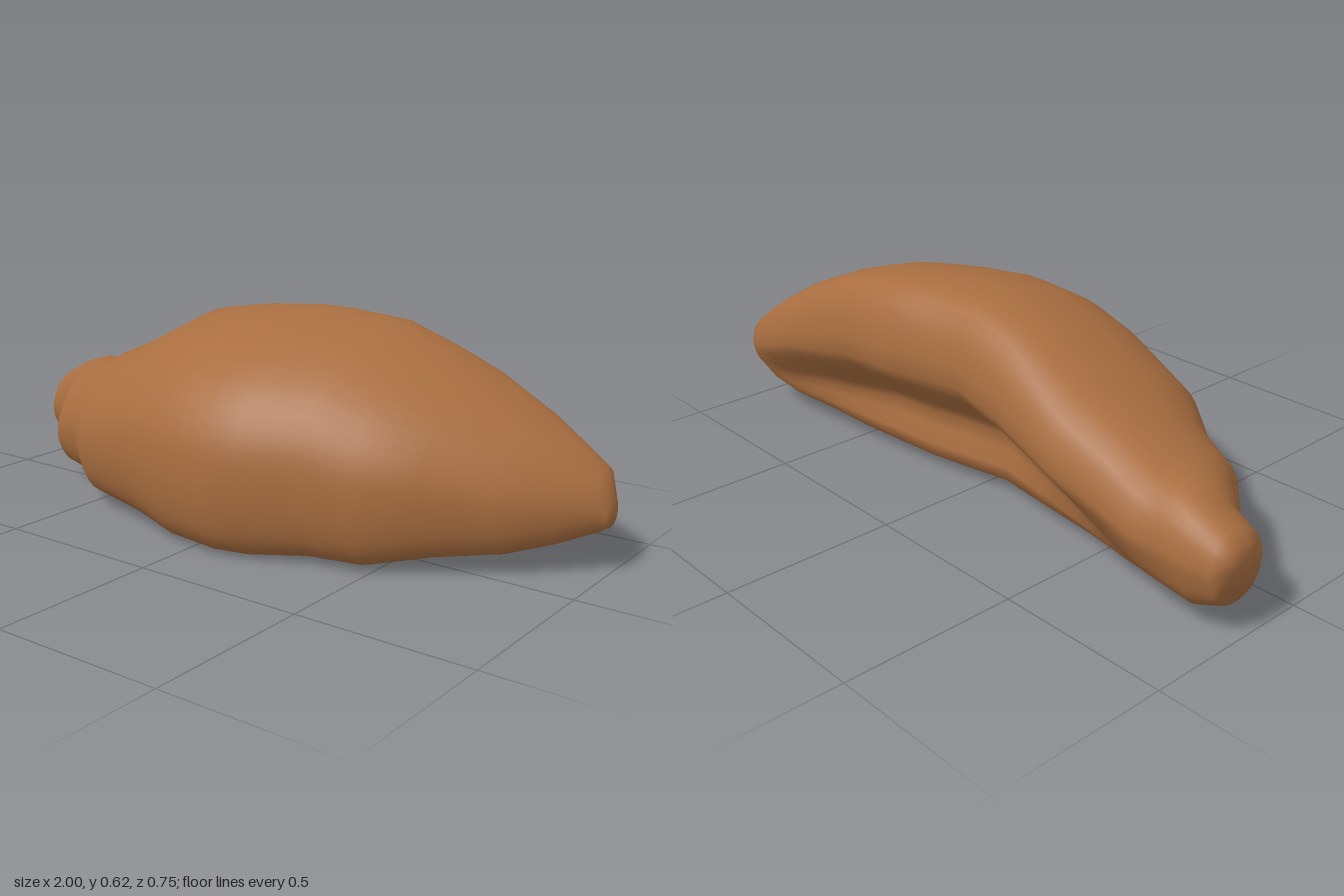
import * as THREE from 'three';

// Stations along the length: [x, back z, front z, bottom y, top y, hollow 0..1]
const STATIONS = [
  [-0.995, -0.28, -0.16, 0.17, 0.26, 0],
  [-0.965, -0.30, -0.10, 0.08, 0.285, 0],
  [-0.89, -0.32, -0.08, 0.05, 0.325, 0],
  [-0.81, -0.325, 0.01, 0.04, 0.35, 0.05],
  [-0.73, -0.33, 0.105, 0.03, 0.355, 0.15],
  [-0.62, -0.33, 0.14, 0.025, 0.41, 0.3],
  [-0.47, -0.34, 0.26, 0.02, 0.47, 0.55],
  [-0.26, -0.33, 0.30, 0.015, 0.58, 0.85],
  [-0.09, -0.31, 0.35, 0.005, 0.61, 1],
  [0.08, -0.355, 0.37, 0, 0.62, 1],
  [0.18, -0.37, 0.345, 0, 0.615, 1],
  [0.33, -0.375, 0.27, 0.01, 0.60, 1],
  [0.48, -0.375, 0.245, 0.01, 0.55, 0.9],
  [0.62, -0.375, 0.15, 0.035, 0.49, 0.75],
  [0.78, -0.365, 0.04, 0.05, 0.40, 0.5],
  [0.88, -0.34, -0.06, 0.075, 0.335, 0.25],
  [0.965, -0.30, -0.15, 0.11, 0.28, 0],
  [0.995, -0.26, -0.18, 0.13, 0.20, 0],
];

// Unit sections (across, up), running front -> top -> back -> bottom
const HOLLOW = [
  [1, 0.45], [0.95, 0.62], [0.82, 0.79], [0.55, 0.95], [0.18, 1], [0.05, 0.92], [0, 0.62],
  [0.14, 0.45], [0.3, 0.28], [0.27, 0.06], [0.6, 0], [0.9, 0.02], [0.98, 0.16],
];
const ROUND = [
  [1, 0.45], [0.95, 0.64], [0.83, 0.83], [0.6, 0.97], [0.3, 1], [0.09, 0.86], [0, 0.58],
  [0.03, 0.4], [0.11, 0.2], [0.28, 0.05], [0.55, 0], [0.83, 0.08], [0.96, 0.25],
];
const RING = 39;

// One closed cross-section, rounded by a spline
function section([x, zb, zf, yb, yt, hollow]) {
  const points = HOLLOW.map(([a, b], i) => {
    const across = THREE.MathUtils.lerp(ROUND[i][0], a, hollow);
    const up = THREE.MathUtils.lerp(ROUND[i][1], b, hollow);
    return new THREE.Vector3(x, yb + up * (yt - yb), zb + across * (zf - zb));
  });
  const curve = new THREE.CatmullRomCurve3(points, true, 'centripetal');
  return Array.from({ length: RING }, (_, j) => curve.getPoint(j / RING));
}

function bodyGeometry() {
  const positions = [], index = [];
  for (const s of STATIONS) {
    for (const p of section(s)) positions.push(p.x, Math.max(p.y, 0), p.z);
  }
  const last = STATIONS.length - 1;
  for (let i = 0; i < last; i++) {
    for (let j = 0; j < RING; j++) {
      const k = (j + 1) % RING;
      const a = i * RING + j, b = a + RING, c = i * RING + k, d = c + RING;
      index.push(a, b, c, b, d, c);
    }
  }
  // Blunt tips
  for (const [i, x] of [[0, -1], [last, 1]]) {
    const [, zb, zf, yb, yt] = STATIONS[i];
    const tip = positions.length / 3;
    positions.push(x, (yb + yt) / 2, (zb + zf) / 2);
    for (let j = 0; j < RING; j++) {
      const a = i * RING + j, b = i * RING + (j + 1) % RING;
      if (x < 0) index.push(tip, a, b);
      else index.push(tip, b, a);
    }
  }
  const geometry = new THREE.BufferGeometry();
  geometry.setAttribute('position', new THREE.Float32BufferAttribute(positions, 3));
  geometry.setIndex(index);
  geometry.computeVertexNormals();
  return geometry;
}

export function createModel() {
  const group = new THREE.Group();
  group.name = 'crescentLoaf';
  const crust = new THREE.MeshStandardMaterial({ color: 0xa96e40 });
  crust.name = 'brown crust';
  const body = new THREE.Mesh(bodyGeometry(), crust);
  body.name = 'body';
  group.add(body);
  return group;
}
